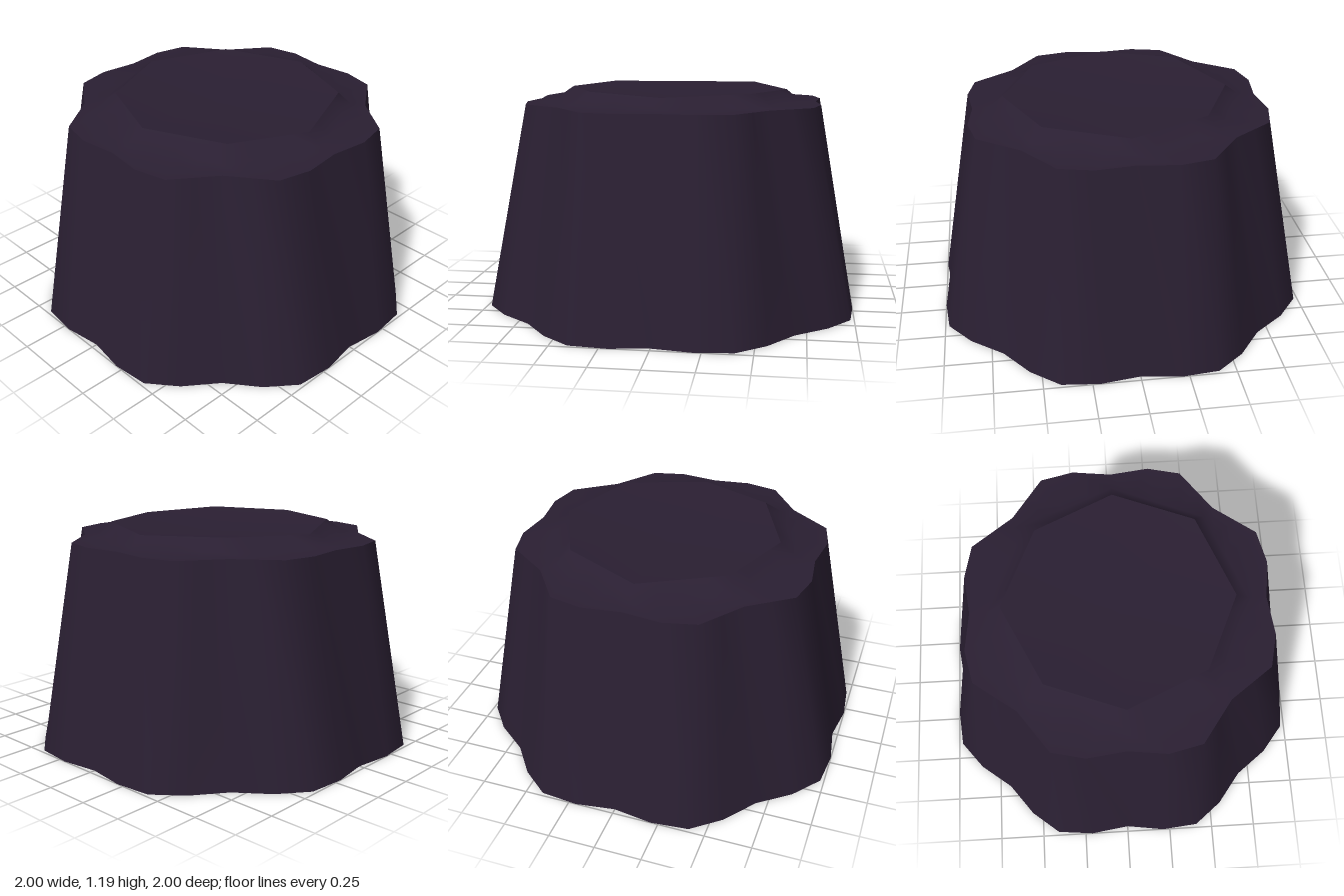
import * as THREE from 'three';
import { mergeVertices } from 'three/addons/utils/BufferGeometryUtils.js';

// One quadrant of each scalloped outline, running from +z towards +x
const FOOT = [[0, 0.97], [0.21, 1], [0.41, 0.98], [0.56, 0.86], [0.69, 0.69], [0.86, 0.56], [0.98, 0.41], [1, 0.21]];
const BRIM = [[0, 0.775], [0.205, 0.8], [0.38, 0.76], [0.46, 0.65], [0.54, 0.54], [0.65, 0.46], [0.76, 0.38], [0.8, 0.205]];

// Raised octagon: x, y, z of each corner, in the same order
const CROWN = [
  [0.01, 1.188, 0.585], [0.43, 1.19, 0.4], [0.61, 1.178, 0], [0.43, 1.188, -0.44],
  [0, 1.18, -0.615], [-0.42, 1.19, -0.42], [-0.61, 1.178, 0], [-0.4, 1.19, 0.43],
];
const CROWN_BASE = CROWN.map((_, i) => {
  const a = (i * Math.PI) / 4;
  return [0.685 * Math.sin(a), 1.123, 0.685 * Math.cos(a)];
});

// Whole scalloped loop of 32 points at a given height
function scallopLoop(quadrant, y) {
  const loop = [];
  for (let q = 0; q < 4; q++) {
    for (let [x, z] of quadrant) {
      for (let k = 0; k < q; k++) [x, z] = [z, -x];
      loop.push([x, y, z]);
    }
  }
  return loop;
}

// Octagon resampled to 32 points so it can be bridged to the scallops
function octagonLoop(corners) {
  const loop = [];
  corners.forEach((p, i) => {
    const next = corners[(i + 1) % corners.length];
    for (let k = 0; k < 4; k++) loop.push(p.map((v, j) => v + ((next[j] - v) * k) / 4));
  });
  return loop;
}

// Smooth skin between loops of equal length, from outer or lower to inner or upper
function loft(loops) {
  const n = loops[0].length;
  const index = [];
  for (let r = 0; r < loops.length - 1; r++) {
    for (let i = 0; i < n; i++) {
      const a = r * n + i, b = r * n + ((i + 1) % n);
      index.push(a, b, a + n, b, b + n, a + n);
    }
  }
  const geometry = new THREE.BufferGeometry();
  geometry.setAttribute('position', new THREE.Float32BufferAttribute(loops.flat(2), 3));
  geometry.setIndex(index);
  const merged = mergeVertices(geometry);
  merged.computeVertexNormals();
  return merged;
}

export function createModel() {
  const group = new THREE.Group();
  const plum = new THREE.MeshStandardMaterial({ color: 0x2a1f32, side: THREE.DoubleSide });
  plum.name = 'dark plum';

  const add = (name, loops) => {
    const mesh = new THREE.Mesh(loft(loops), plum);
    mesh.name = name;
    group.add(mesh);
  };

  // Flared scalloped wall, open underneath
  add('wall', [scallopLoop(FOOT, 0), scallopLoop(BRIM, 1.115)]);
  // Nearly flat shoulder running smoothly into the sloping edge of the crown
  add('shoulder', [scallopLoop(BRIM, 1.115), octagonLoop(CROWN_BASE), octagonLoop(CROWN)]);
  // Shallow dished top, closing on a single centre point
  add('crownTop', [CROWN, CROWN.map(() => [0, 1.14, 0])]);

  return group;
}
